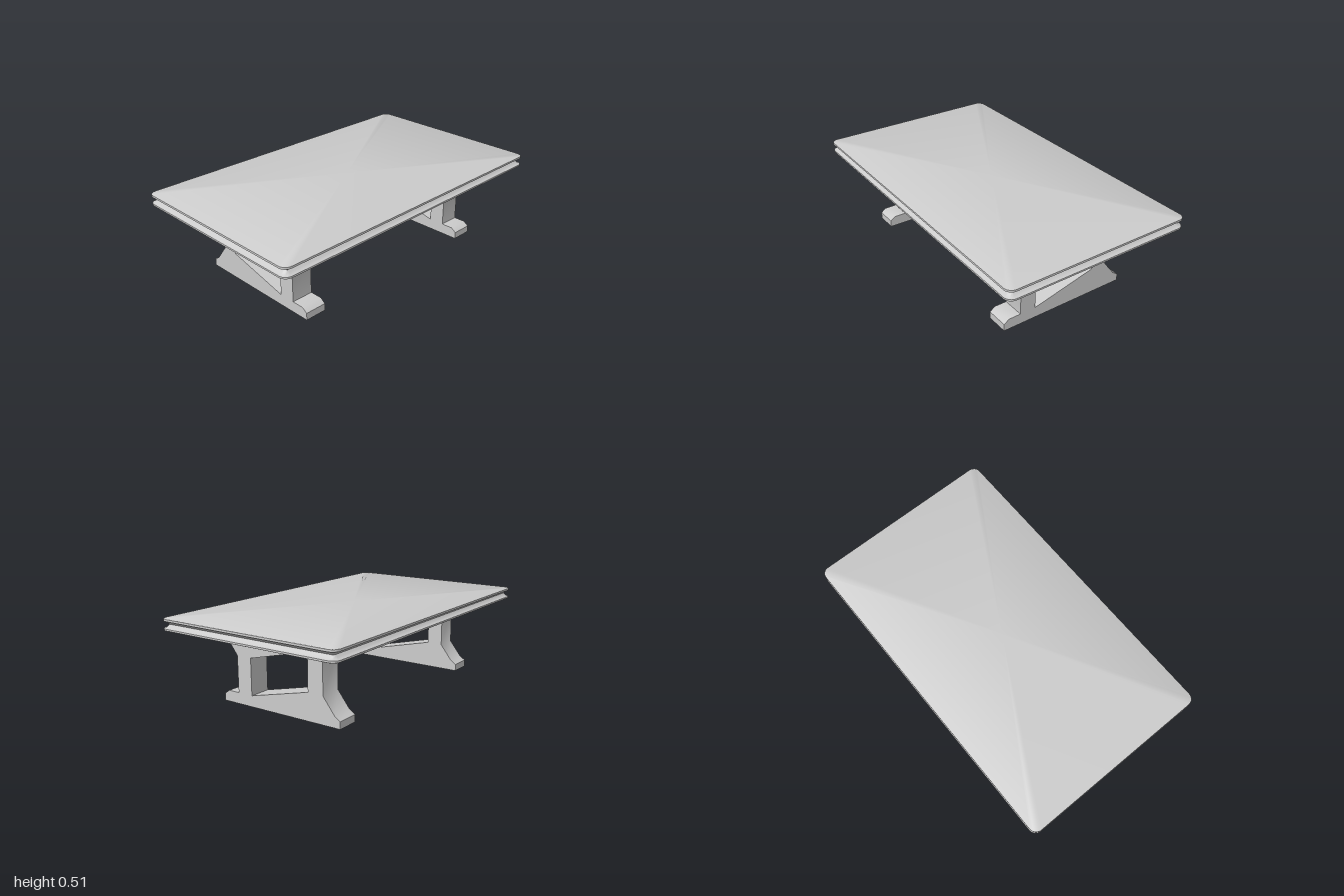
import * as THREE from 'three';
import { toCreasedNormals } from 'three/addons/utils/BufferGeometryUtils.js';

const HALF_X = 1, HALF_Z = 0.592, CORNER = 0.045, CORNER_STEPS = 6;
const CREASE = 0.7;

// Rounded-rectangle outline in plan, pulled in by the given inset
function outline(inset) {
  const points = [];
  const radius = CORNER - inset;
  const cx = HALF_X - CORNER, cz = HALF_Z - CORNER;
  [[1, 1], [-1, 1], [-1, -1], [1, -1]].forEach(([sx, sz], q) => {
    for (let i = 0; i <= CORNER_STEPS; i++) {
      const a = (q + i / CORNER_STEPS) * Math.PI / 2;
      points.push([sx * cx + radius * Math.cos(a), sz * cz + radius * Math.sin(a)]);
    }
  });
  return points;
}

// Slab whose edge follows a profile of [inset, y], from bottom to top
function slabGeometry(profile) {
  const positions = [], indices = [];
  for (const [inset, y] of profile) {
    for (const [x, z] of outline(inset)) positions.push(x, y, z);
  }
  const n = 4 * (CORNER_STEPS + 1);
  const last = profile.length - 1;
  const bottom = positions.length / 3, top = bottom + 1;
  positions.push(0, profile[0][1], 0, 0, profile[last][1], 0);
  for (let i = 0; i < n; i++) {
    const j = (i + 1) % n;
    for (let r = 0; r < last; r++) {
      const a = r * n + i, b = r * n + j;
      indices.push(a, a + n, b, b, a + n, b + n);
    }
    indices.push(bottom, i, j);
    indices.push(top, last * n + j, last * n + i);
  }
  const geometry = new THREE.BufferGeometry();
  geometry.setAttribute('position', new THREE.Float32BufferAttribute(positions, 3));
  geometry.setIndex(indices);
  return toCreasedNormals(geometry, CREASE);
}

// Trestle side profile in (z, y) with a slanted opening, extruded across x
function trestleGeometry(width) {
  const toPoints = list => list.map(([z, y]) => new THREE.Vector2(z, y));
  const shape = new THREE.Shape(toPoints([
    [-0.41, 0], [0.41, 0], [0.41, 0.043], [0.378, 0.066], [0.302, 0.066],
    [0.302, 0.285], [0.377, 0.383], [0.41, 0.403], [0.41, 0.447],
    [-0.41, 0.447], [-0.41, 0.403], [-0.377, 0.382], [-0.3, 0.382],
    [-0.3, 0.161], [-0.375, 0.066], [-0.41, 0.043],
  ]));
  shape.holes.push(new THREE.Path(toPoints([
    [0.202, 0.066], [0.202, 0.285], [-0.2, 0.382], [-0.2, 0.163],
  ])));
  const geometry = new THREE.ExtrudeGeometry(shape, { depth: width, bevelEnabled: false });
  geometry.translate(0, 0, -width / 2);
  geometry.rotateY(-Math.PI / 2);
  return toCreasedNormals(geometry, CREASE);
}

export function createModel() {
  const model = new THREE.Group();
  model.name = 'table';
  const material = new THREE.MeshStandardMaterial({ color: 0xcccccc });

  // Top with a groove running all round its edge
  const tableTop = new THREE.Mesh(slabGeometry([
    [0.004, 0.447], [0, 0.449], [0, 0.459], [0.012, 0.462], [0.022, 0.471],
    [0.03, 0.481], [0.022, 0.488], [0.012, 0.496], [0, 0.501], [0, 0.513], [0.004, 0.515],
  ]), material);
  tableTop.name = 'tableTop';
  model.add(tableTop);

  // Two identical trestles
  const trestle = trestleGeometry(0.134);
  for (const [name, x] of [['leftTrestle', 0.647], ['rightTrestle', -0.647]]) {
    const mesh = new THREE.Mesh(trestle, material);
    mesh.name = name;
    mesh.position.x = x;
    model.add(mesh);
  }
  return model;
}
